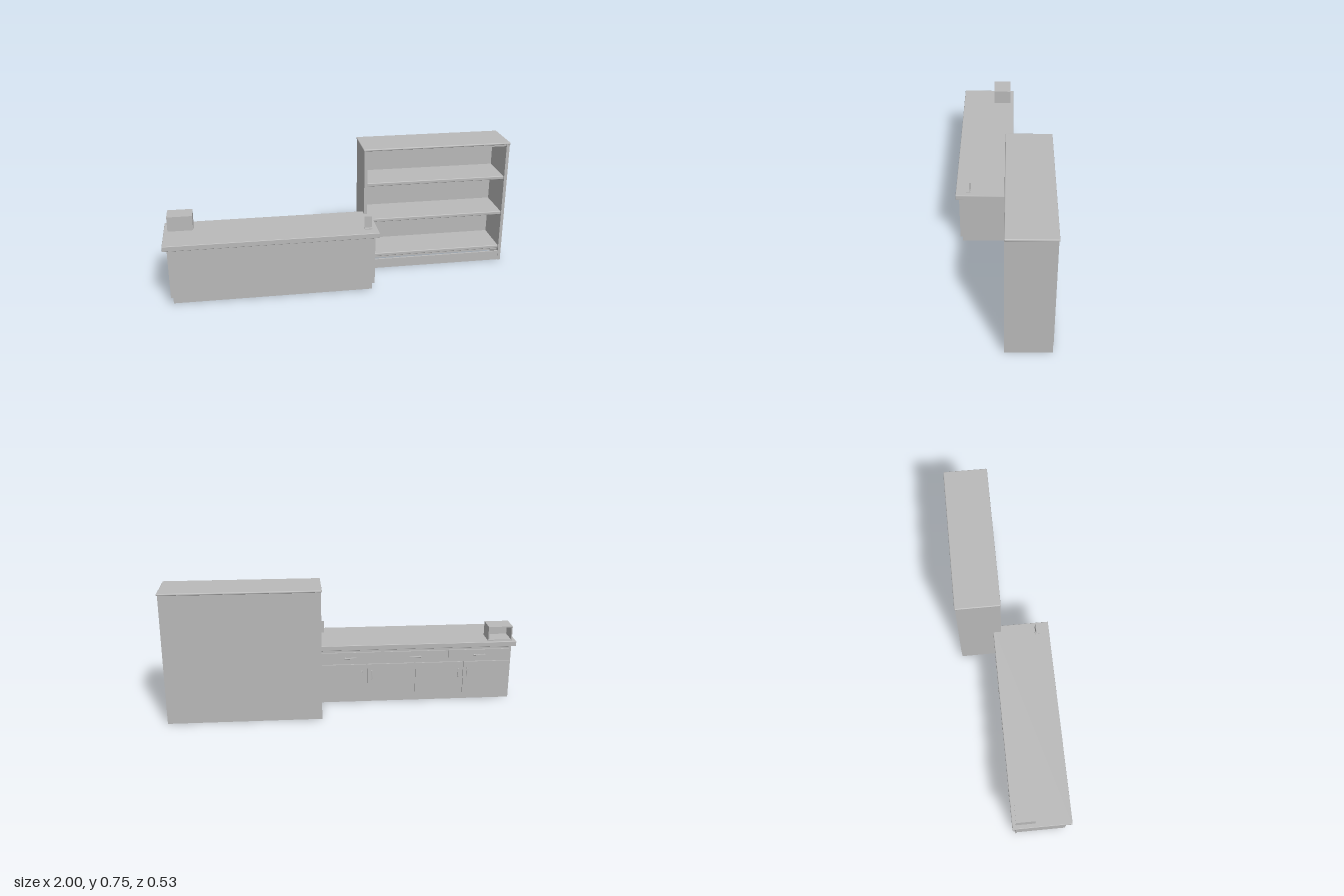
import * as THREE from 'three';
import { RoundedBoxGeometry } from 'three/addons/geometries/RoundedBoxGeometry.js';

export function createModel() {
  const model = new THREE.Group();
  model.name = 'counterAndShelving';
  const grey = new THREE.MeshStandardMaterial({ color: 0xbababa });
  grey.name = 'grey';

  // Box given by its extents; optional rounding radius
  function box(parent, name, [x0, x1], [y0, y1], [z0, z1], radius = 0) {
    const size = [x1 - x0, y1 - y0, z1 - z0];
    const geo = radius ? new RoundedBoxGeometry(...size, 2, radius) : new THREE.BoxGeometry(...size);
    const mesh = new THREE.Mesh(geo, grey);
    mesh.name = name;
    mesh.position.set((x0 + x1) / 2, (y0 + y1) / 2, (z0 + z1) / 2);
    parent.add(mesh);
    return mesh;
  }
  function group(name) {
    const g = new THREE.Group();
    g.name = name;
    model.add(g);
    return g;
  }

  // Counter: hollow carcass, open underneath
  const counter = group('counter');
  box(counter, 'worktop', [-1, 0.178], [0.328, 0.358], [-0.06, 0.265], 0.003);
  box(counter, 'frontPanel', [-0.977, 0.157], [0.041, 0.328], [0.235, 0.247]);
  box(counter, 'frontPlinth', [-0.965, 0.145], [0, 0.041], [0.225, 0.235]);
  for (const [outer, inward] of [[-0.977, 1], [0.157, -1]]) {
    const span = (a, b) => [outer + inward * a, outer + inward * b].sort((p, q) => p - q);
    box(counter, 'endPanel', span(0, 0.014), [0.041, 0.328], [-0.04, 0.235]);
    box(counter, 'endPlinth', span(0.012, 0.022), [0, 0.041], [-0.03, 0.225]);
  }
  box(counter, 'backFrame', [-0.977, 0.157], [0, 0.328], [-0.04, -0.028]);

  // Three drawers on the staff side
  for (let i = 0; i < 3; i++) {
    const x = -0.965 + i * 0.376;
    const mid = x + 0.178;
    box(counter, 'drawer', [x, x + 0.356], [0.247, 0.31], [-0.049, -0.04]);
    box(counter, 'drawerHandle', [mid - 0.035, mid + 0.035], [0.275, 0.283], [-0.061, -0.055], 0.002);
    for (const s of [-0.028, 0.028])
      box(counter, 'handlePost', [mid + s - 0.003, mid + s + 0.003], [0.276, 0.282], [-0.056, -0.049]);
  }

  // Four doors, handles in facing pairs
  for (let i = 0; i < 4; i++) {
    const x = -0.972 + i * 0.282;
    box(counter, 'door', [x, x + 0.274], [0.042, 0.236], [-0.049, -0.04]);
    const hx = i % 2 === 0 ? x + 0.25 : x + 0.024;
    box(counter, 'doorHandle', [hx - 0.004, hx + 0.004], [0.145, 0.2], [-0.061, -0.055], 0.002);
    for (const y of [0.15, 0.195])
      box(counter, 'handlePost', [hx - 0.003, hx + 0.003], [y - 0.003, y + 0.003], [-0.056, -0.049]);
  }

  // Small cubby on the worktop, open at the back
  const cubby = group('cubby');
  box(cubby, 'cubbyTop', [-0.978, -0.838], [0.437, 0.443], [-0.04, 0.066]);
  box(cubby, 'cubbyFloor', [-0.972, -0.844], [0.358, 0.364], [-0.04, 0.06]);
  box(cubby, 'cubbyFront', [-0.978, -0.838], [0.358, 0.437], [0.06, 0.066]);
  for (const x of [-0.978, -0.844])
    box(cubby, 'cubbySide', [x, x + 0.006], [0.358, 0.437], [-0.04, 0.06]);

  // Card stand
  const stand = group('cardStand');
  box(stand, 'standBase', [0.105, 0.148], [0.358, 0.362], [0.181, 0.207]);
  box(stand, 'standPlate', [0.105, 0.148], [0.36, 0.428], [0.184, 0.188]);

  // Tall shelving unit, open at the front and underneath
  const shelving = group('shelvingUnit');
  box(shelving, 'topBoard', [0.135, 1], [0.738, 0.75], [-0.266, -0.014], 0.005);
  for (const x of [0.14, 0.977]) {
    box(shelving, 'sidePanel', [x, x + 0.018], [0, 0.738], [-0.26, -0.027]);
    box(shelving, 'frontStile', [x, x + 0.018], [0, 0.738], [-0.027, -0.015]);
  }
  box(shelving, 'topRail', [0.158, 0.977], [0.729, 0.738], [-0.03, -0.018]);
  box(shelving, 'backPanel', [0.145, 0.99], [0.06, 0.738], [-0.262, -0.252]);
  box(shelving, 'backSkirt', [0.158, 0.977], [0, 0.06], [-0.26, -0.252]);
  box(shelving, 'toeBoard', [0.158, 0.977], [0, 0.057], [-0.03, -0.018]);
  box(shelving, 'bottomBoard', [0.158, 0.977], [0.06, 0.075], [-0.252, -0.035]);
  for (const y of [0.076, 0.3, 0.524])
    box(shelving, 'shelf', [0.158, 0.977], [y, y + 0.02], [-0.252, -0.02], 0.004);

  return model;
}
